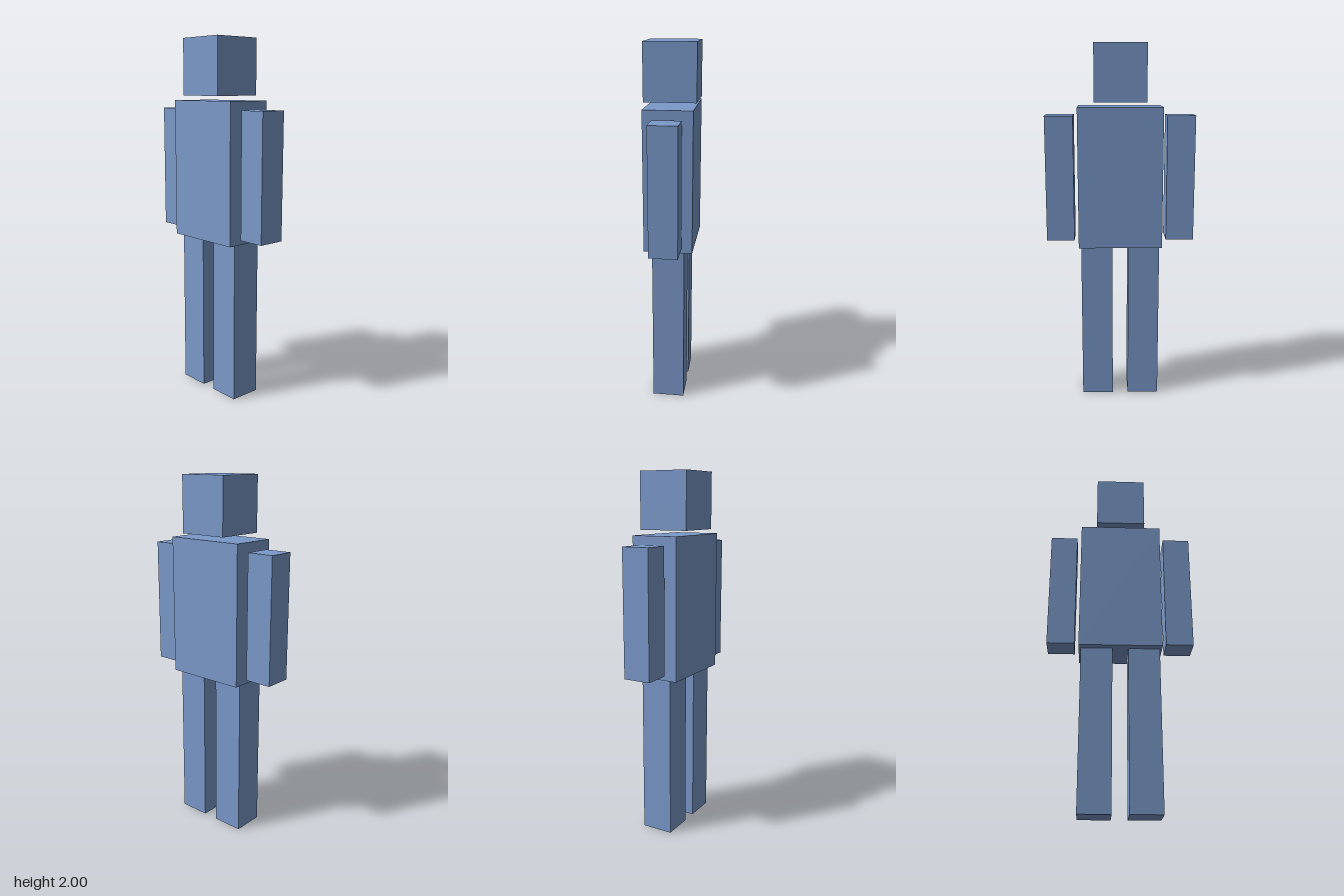
import * as THREE from 'three';

export function createModel() {
  const group = new THREE.Group();
  const blue = new THREE.MeshStandardMaterial({ color: 0x7b9acb });
  blue.name = 'soft blue';

  // Box centred on z = 0, given its x and y ranges and its depth
  function block(name, x0, x1, y0, y1, depth) {
    const mesh = new THREE.Mesh(new THREE.BoxGeometry(x1 - x0, y1 - y0, depth), blue);
    mesh.position.set((x0 + x1) / 2, (y0 + y1) / 2, 0);
    mesh.name = name;
    group.add(mesh);
  }

  // Head floats just above the torso
  block('head', -0.141, 0.141, 1.693, 2, 0.282);
  block('torso', -0.231, 0.231, 0.898, 1.667, 0.265);

  // Mirrored limbs
  for (const [side, s] of [['left', 1], ['right', -1]]) {
    const range = (inner, outer) => (s > 0 ? [inner, outer] : [-outer, -inner]);
    block(side + 'Arm', ...range(0.256, 0.41), 0.93, 1.62, 0.154);
    block(side + 'Leg', ...range(0.044, 0.219), 0, 0.898, 0.176);
  }

  return group;
}
